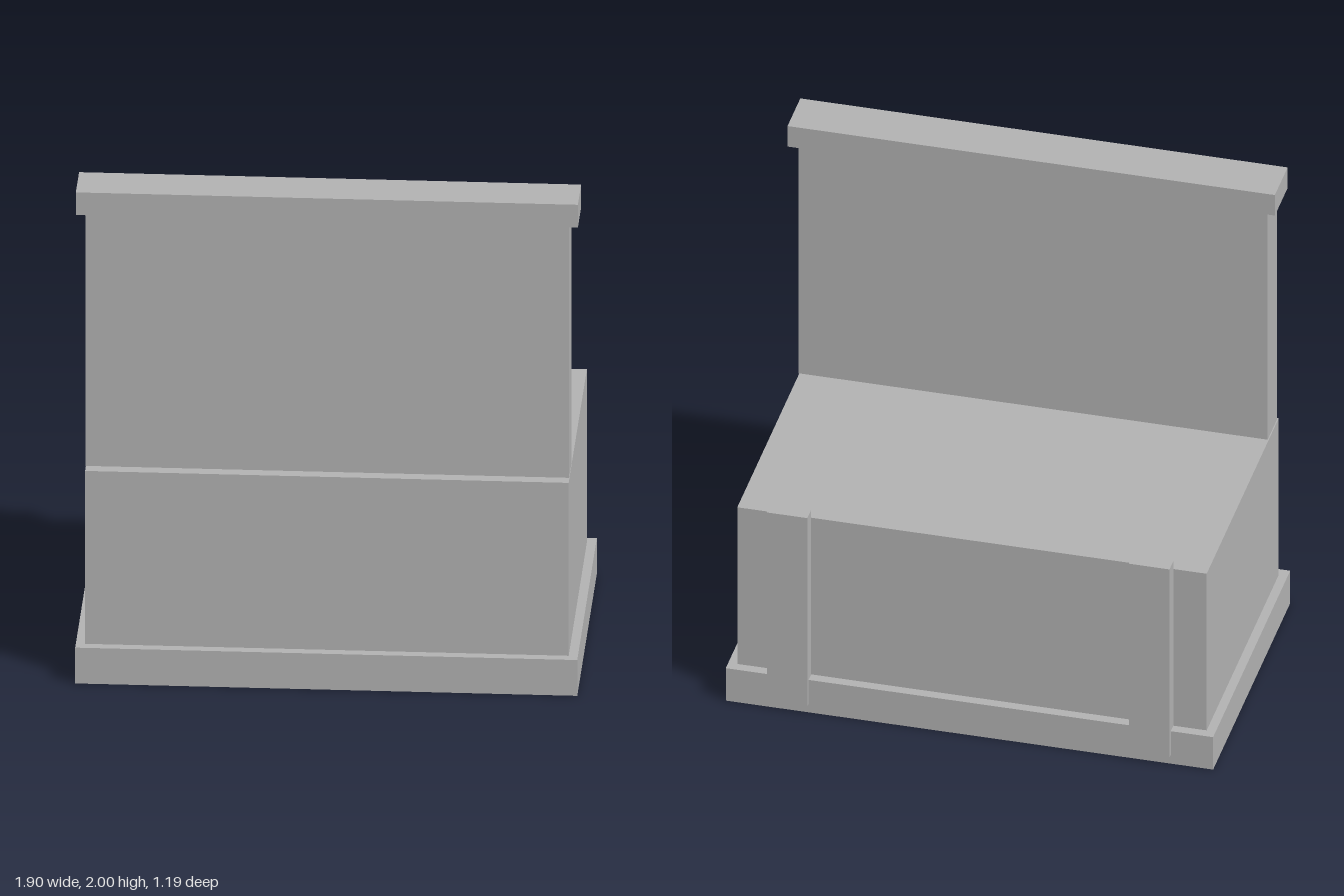
import * as THREE from 'three';

export function createModel() {
  const group = new THREE.Group();
  const grey = new THREE.MeshStandardMaterial({ color: 0xb2b2b2 });
  grey.name = 'plain grey';

  // Box given by its extents along each axis
  const block = (name, [x0, x1], [y0, y1], [z0, z1]) => {
    const mesh = new THREE.Mesh(new THREE.BoxGeometry(x1 - x0, y1 - y0, z1 - z0), grey);
    mesh.position.set((x0 + x1) / 2, (y0 + y1) / 2, (z0 + z1) / 2);
    mesh.name = name;
    group.add(mesh);
  };

  // Plinth and main body
  block('plinth', [-0.95, 0.95], [0, 0.147], [-0.577, 0.597]);
  block('body', [-0.915, 0.915], [0.147, 0.857], [-0.538, 0.558]);

  // Upright panel, floating just above the body, with its cap
  block('uprightPanel', [-0.915, 0.915], [0.868, 1.907], [0.39, 0.535]);
  block('cap', [-0.95, 0.95], [1.907, 2], [0.363, 0.558]);

  // Vertical straps on the back
  block('leftStrap', [0.627, 0.785], [0.04, 0.893], [-0.597, -0.538]);
  block('rightStrap', [-0.785, -0.627], [0.04, 0.893], [-0.597, -0.538]);

  return group;
}
